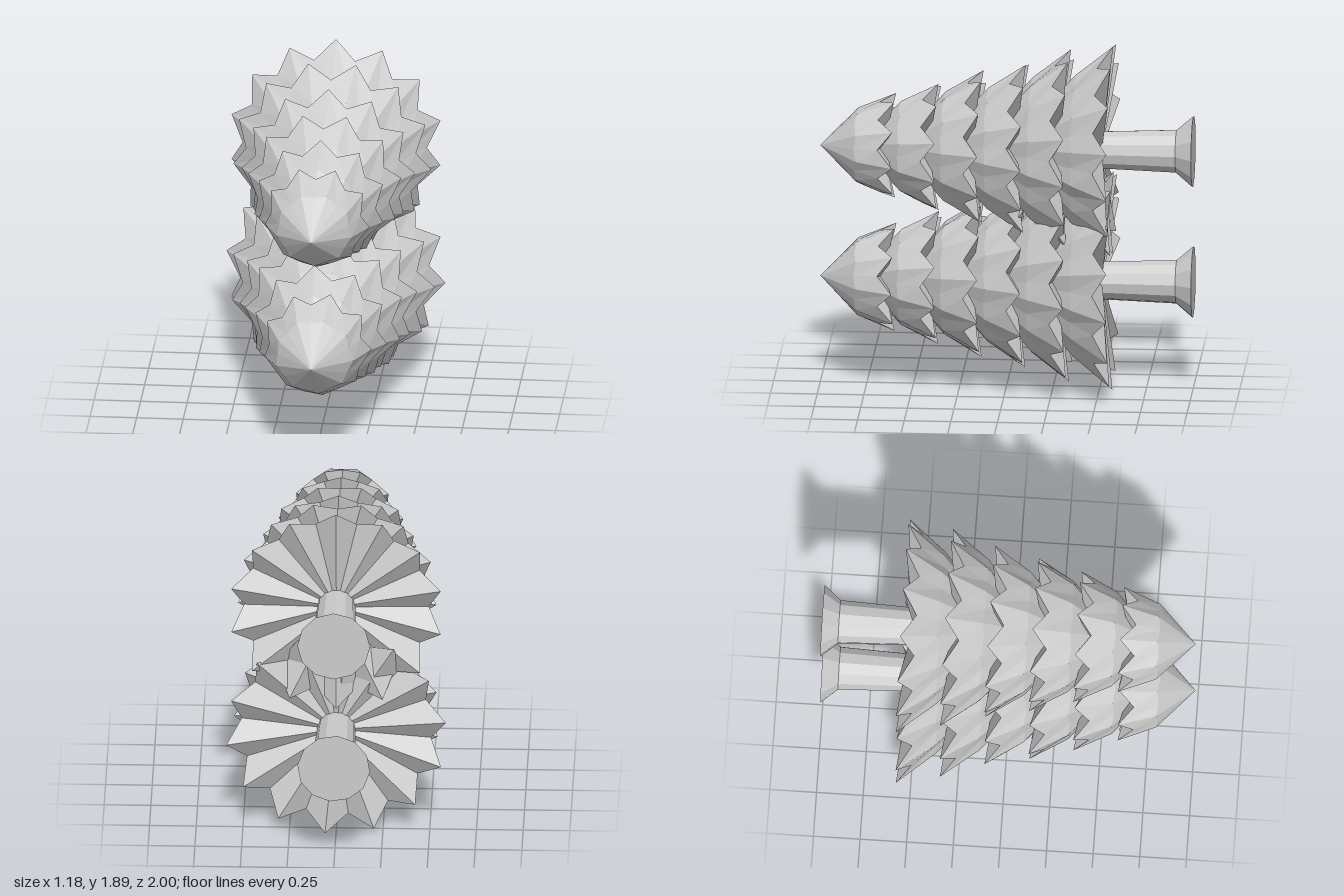
import * as THREE from 'three';

const grey = new THREE.MeshStandardMaterial({ color: 0xcccccc, flatShading: true });
grey.name = 'plainGrey';

// One pleated tier around the z axis: n spikes, tip radius R, spike tips at z = 0
function tierGeometry(n, R, length, phase) {
  const count = n * 2;
  const ring = (peakR, valleyR, peakZ, valleyZ) => Array.from({ length: count }, (_, i) => {
    const a = phase + (i * Math.PI) / n;
    const r = R * (i % 2 ? valleyR : peakR);
    return [r * Math.sin(a), r * Math.cos(a), i % 2 ? valleyZ : peakZ];
  });
  const mid = ring(0.72, 0.66, 0.2, 0.21);
  const rim = ring(1, 0.86, 0, 0.08);
  const apex = [0, 0, length];
  const under = [0, 0, 0.06];
  const pos = [];
  for (let i = 0; i < count; i++) {
    const j = (i + 1) % count;
    pos.push(...apex, ...mid[j], ...mid[i]);
    pos.push(...mid[i], ...mid[j], ...rim[i], ...mid[j], ...rim[j], ...rim[i]);
    pos.push(...under, ...rim[i], ...rim[j]);
  }
  const g = new THREE.BufferGeometry();
  g.setAttribute('position', new THREE.Float32BufferAttribute(pos, 3));
  g.computeVertexNormals();
  return g;
}

// A tree lying along z with its tip to the front
function makeTree() {
  const tree = new THREE.Group();
  const foliage = new THREE.Group();
  foliage.name = 'foliage';
  const radii = [0.285, 0.35, 0.415, 0.465, 0.535, 0.575];
  radii.forEach((R, i) => {
    const n = 9 + i;
    const phase = i % 2 ? 0 : Math.PI / n;
    const tier = new THREE.Mesh(tierGeometry(n, R, 0.4 + i * 0.035, i === 5 ? 0 : phase), grey);
    tier.name = 'tier' + (i + 1);
    tier.position.z = 0.6 - i * 0.234;
    foliage.add(tier);
  });
  tree.add(foliage);

  // trunk with a flared, closed foot
  const profile = [[0, -1], [0.195, -1], [0.118, -0.91], [0.1, -0.45]]
    .map(([r, z]) => new THREE.Vector2(r, z));
  const trunk = new THREE.Mesh(new THREE.LatheGeometry(profile, 12).rotateX(Math.PI / 2), grey);
  trunk.name = 'trunk';
  tree.add(trunk);
  return { tree, foliage };
}

export function createModel() {
  const model = new THREE.Group();
  model.name = 'twoTrees';

  const upper = makeTree();
  upper.tree.name = 'upperTree';
  upper.tree.position.y = 1.33;

  // lower tree, turned a little about its own axis
  const lower = makeTree();
  lower.tree.name = 'lowerTree';
  lower.tree.position.y = 0.605;
  lower.tree.rotation.z = 0.1;
  lower.foliage.scale.set(1.03, 1.03, 1);

  model.add(upper.tree, lower.tree);
  return model;
}
